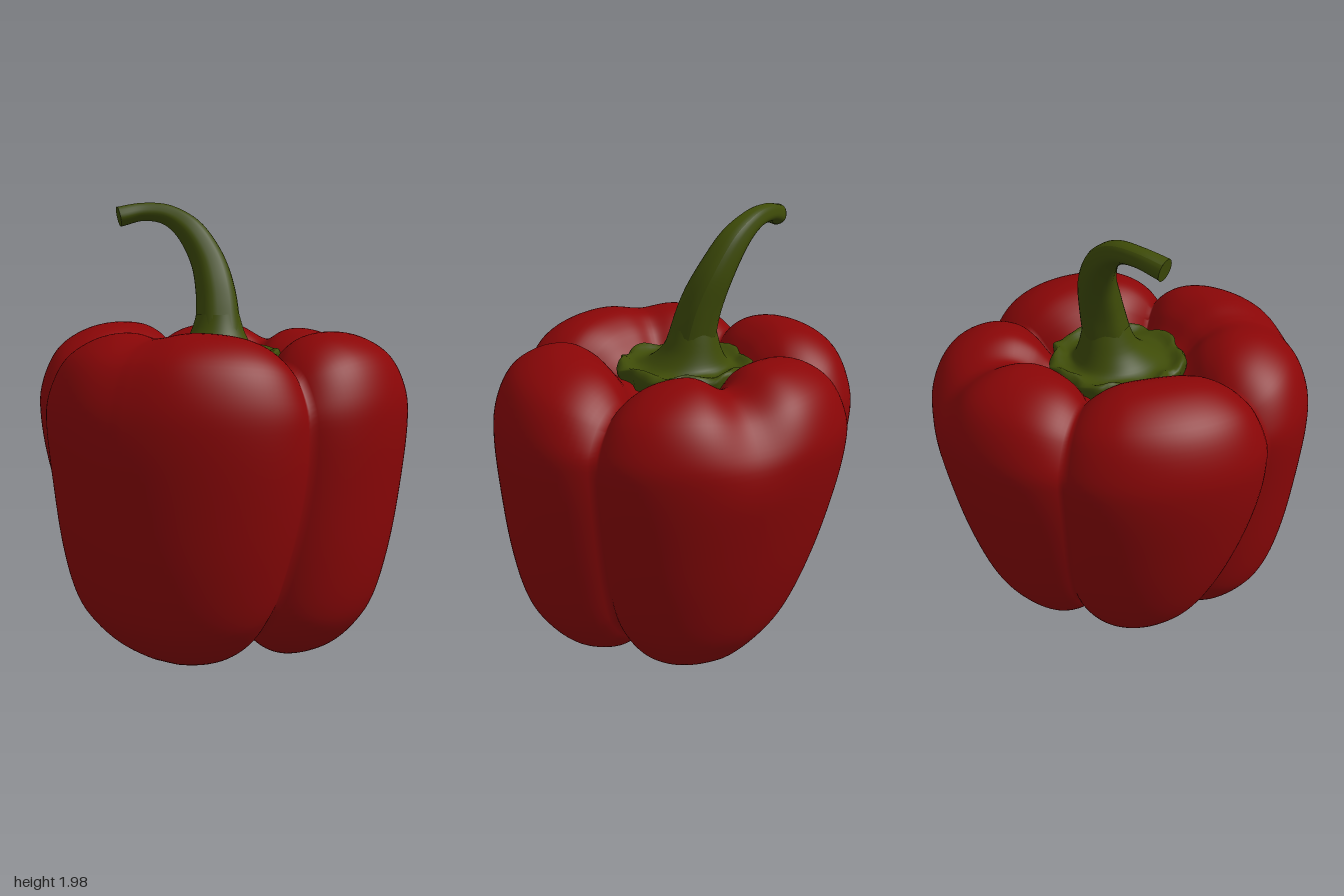
import * as THREE from 'three';

const red = new THREE.MeshStandardMaterial({ color: 0x8a0607 });
red.name = 'pepperRed';
const green = new THREE.MeshStandardMaterial({ color: 0x3e4b08, side: THREE.DoubleSide });
green.name = 'stemGreen';

const { smoothstep, lerp, degToRad } = THREE.MathUtils;

// Closed ring surface: point(i, j) gives the vertex of column i, row j
function ringSurface(columns, rows, point) {
  const pos = [], index = [];
  for (let j = 0; j <= rows; j++) {
    for (let i = 0; i < columns; i++) pos.push(...point(i, j));
  }
  for (let j = 0; j < rows; j++) {
    for (let i = 0; i < columns; i++) {
      const a = j * columns + i, b = j * columns + (i + 1) % columns;
      index.push(a, a + columns, b, b, a + columns, b + columns);
    }
  }
  const g = new THREE.BufferGeometry();
  g.setAttribute('position', new THREE.Float32BufferAttribute(pos, 3));
  g.setIndex(index);
  g.computeVertexNormals();
  return g;
}

const spline = pts => new THREE.SplineCurve(pts.map(p => new THREE.Vector2(...p)));

// Cosine bump around a direction given in degrees, never negative
const toward = (a, degrees) => Math.max(0, Math.cos(a - degToRad(degrees)));

// Grooves between lobes: angle at the top, angle at the bottom, depth, shallow flag
const grooves = [
  [14, 17, 0.115, false], [89, 99, 0.11, false], [150, 150, 0.03, true],
  [195, 210, 0.105, false], [269, 275, 0.085, false], [325, 325, 0.075, true],
];

// Lobed body: a profile from bottom centre to top centre, pressed in along the grooves
function bodyGeometry() {
  const profile = spline([
    [0, 0.1], [0.14, 0.075], [0.28, 0.025], [0.42, 0.004], [0.56, 0.02], [0.73, 0.09],
    [0.85, 0.2], [0.915, 0.32], [0.96, 0.52], [0.985, 0.75], [1, 1.05], [0.975, 1.23],
    [0.89, 1.37], [0.73, 1.45], [0.56, 1.46], [0.42, 1.4], [0.31, 1.295], [0.16, 1.23], [0, 1.22],
  ]);
  const rows = 100, per = 36;
  const pts = profile.getSpacedPoints(rows);
  const tangents = pts.map((p, j) => profile.getTangentAt(j / rows));

  return ringSurface(per * grooves.length, rows, (i, j) => {
    const { x: rho, y } = pts[j], tan = tangents[j];
    const low = 1 - smoothstep(y, 0, 1);
    const k = Math.floor(i / per), t = (i % per) / per;
    const angle = n => {
      const g = grooves[n % 6];
      return degToRad(lerp(g[0], g[1], low) + (n >= 6 ? 360 : 0));
    };
    const a0 = angle(k), a1 = angle(k + 1), a = lerp(a0, a1, t);
    // Deep grooves are sharp creases, shallow ones are soft dents near the top
    const press = (n, d) => {
      const [, , depth, shallow] = grooves[n % 6];
      return shallow
        ? depth * smoothstep(y, 0.95, 1.45) * Math.exp(-((d / 0.2) ** 2))
        : depth * (1 + 0.35 * smoothstep(y, 1.1, 1.4) + 0.4 * low) * Math.exp(-d / (0.2 + 0.03 * low));
    };
    const depth = (press(k, a - a0) + press(k + 1, a1 - a)) * smoothstep(rho, 0, 0.35);

    // Outline, narrowing towards the bottom and most of all at the back
    const outline = 0.826 + 0.02 * Math.cos(2 * (a - 0.17)) + 0.009 * Math.cos(a - degToRad(45));
    const narrow = 0.14 - 0.1 * Math.sin(a) + 0.04 * Math.cos(a - degToRad(320));
    const r = rho * outline * (1 - narrow * Math.max(0, 1 - y / 1.15) ** 1.3) - tan.y * depth;
    // One back lobe sits lower at the top, the left ones hang less far at the bottom
    const dip = 0.035 * toward(a, 340) * smoothstep(y, 1, 1.4);
    const lift = (0.045 * toward(a, 230) + 0.02 * toward(a, 130))
      * (1 - smoothstep(y, 0, 0.5)) * smoothstep(rho, 0, 0.3);
    return [r * Math.cos(a), y + tan.x * depth - dip + lift, r * Math.sin(a)];
  });
}

// Leafy collar with a ragged rim, rising into the stem
function calyxGeometry() {
  const rows = 20, columns = 96;
  const pts = spline([
    [0.28, 1.27], [0.29, 1.32], [0.268, 1.343], [0.225, 1.325], [0.185, 1.335], [0.15, 1.37], [0.12, 1.42], [0.095, 1.5],
  ]).getPoints(rows);
  return ringSurface(columns, rows, (i, j) => {
    const a = i / columns * Math.PI * 2, rim = 1 - smoothstep(j, 3, 12);
    const ragged = 0.6 * Math.sin(7 * a) + 0.3 * Math.sin(12 * a + 1) + 0.25 * Math.sin(19 * a + 2);
    const r = pts[j].x + 0.016 * rim * ragged;
    const y = pts[j].y + 0.012 * rim * Math.sin(8 * a + j * 0.6);
    const rise = smoothstep(j, 8, rows);
    return [r * Math.cos(a) + 0.035 * rise, y, r * Math.sin(a) - 0.03 - 0.045 * rise];
  });
}

// Curved stem: a tube whose radius follows a list, with faint ribs
const stemPath = new THREE.CatmullRomCurve3([
  [0.02, 1.3, -0.04], [0.035, 1.45, -0.07], [0.045, 1.6, -0.11], [0.035, 1.74, -0.17],
  [-0.02, 1.87, -0.24], [-0.1, 1.938, -0.305], [-0.2, 1.95, -0.352], [-0.305, 1.928, -0.378],
].map(p => new THREE.Vector3(...p)));
const stemRadius = spline([
  [0, 0.13], [0.15, 0.105], [0.3, 0.094], [0.45, 0.085], [0.6, 0.074], [0.75, 0.063], [0.9, 0.047], [0.96, 0.04], [1, 0.044],
]);

function stemGeometry() {
  const g = new THREE.TubeGeometry(stemPath, 60, 1, 30);
  const pos = g.attributes.position, uv = g.attributes.uv, v = new THREE.Vector3();
  for (let i = 0; i < pos.count; i++) {
    const u = uv.getX(i), c = stemPath.getPointAt(u);
    const rib = 1 + 0.04 * Math.cos(5 * uv.getY(i) * Math.PI * 2);
    v.fromBufferAttribute(pos, i).sub(c).multiplyScalar(stemRadius.getPoint(u).y * rib).add(c);
    pos.setXYZ(i, v.x, v.y, v.z);
  }
  g.computeVertexNormals();
  return g;
}

export function createModel() {
  const group = new THREE.Group();
  group.name = 'bellPepper';
  const add = (name, geometry, material) => {
    const mesh = new THREE.Mesh(geometry, material);
    mesh.name = name;
    group.add(mesh);
    return mesh;
  };
  add('body', bodyGeometry(), red);
  add('calyx', calyxGeometry(), green);
  add('stem', stemGeometry(), green);

  // Cut end of the stem
  const tip = add('stemTip', new THREE.CircleGeometry(0.045, 24), green);
  const end = stemPath.getPointAt(1);
  tip.position.copy(end);
  tip.lookAt(end.clone().add(stemPath.getTangentAt(1)));
  return group;
}
